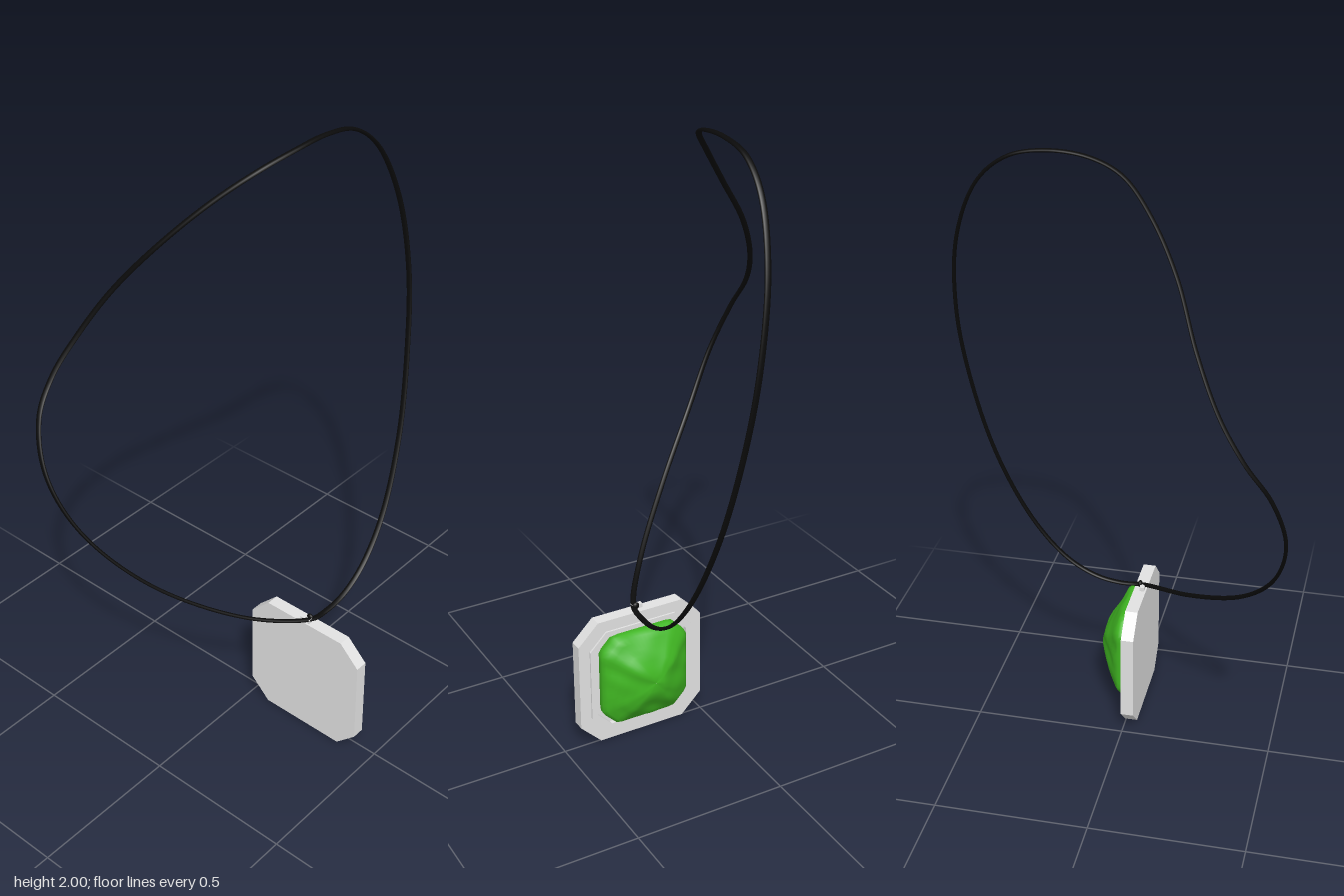
import * as THREE from 'three';

const mat = (name, color) => {
  const m = new THREE.MeshStandardMaterial({ color });
  m.name = name;
  return m;
};

// pendant centre: it lies in the y-z plane and faces +x
const CY = 0.22, CZ = 0.222;

// square with cut corners, h = half size, c = corner cut
function octagon(h, c, Type = THREE.Shape) {
  const k = h - c;
  return new Type([[h, -k], [h, k], [k, h], [-k, h], [-h, k], [-h, -k], [-k, -h], [k, -h]]
    .map(([x, y]) => new THREE.Vector2(x, y)));
}

// octagonal slab or frame between x0 and x1
function slab(h, c, x0, x1, hole) {
  const shape = octagon(h, c);
  if (hole) shape.holes.push(octagon(hole[0], hole[1], THREE.Path));
  const g = new THREE.ExtrudeGeometry(shape, { depth: x1 - x0, bevelEnabled: false });
  g.rotateY(Math.PI / 2);
  g.translate(x0, CY, CZ);
  return g;
}

// cut stone: octagonal rings shrinking towards a slightly uneven crown
function gemGeometry() {
  const rings = [[-0.005, 0.146], [0.014, 0.153], [0.03, 0.152], [0.042, 0.142], [0.053, 0.126],
    [0.064, 0.109], [0.076, 0.091], [0.088, 0.072], [0.099, 0.05], [0.106, 0.028], [0.103, 0.001]];
  const seg = 64, pos = [], index = [];
  rings.forEach(([x, h], i) => {
    for (let j = 0; j < seg; j++) {
      const a = (j / seg) * Math.PI * 2, c = Math.cos(a), s = Math.sin(a);
      const r = Math.min(h / Math.abs(c), h * 1.05 / Math.abs(s), h * 1.72 / (Math.abs(c) + Math.abs(s)));
      const u = r * c, v = r * s;
      const bump = i > 2 ? 0.003 * Math.sin(u * 48 + 1) * Math.cos(v * 42 + 0.6) + 0.002 * Math.sin(v * 80 + u * 50) : 0;
      pos.push(x + bump, CY + 0.007 + v, CZ - u);
      if (i < rings.length - 1) {
        const p = i * seg + j, q = i * seg + (j + 1) % seg;
        index.push(p, q, p + seg, q, q + seg, p + seg);
      }
    }
  });
  const g = new THREE.BufferGeometry();
  g.setAttribute('position', new THREE.Float32BufferAttribute(pos, 3));
  g.setIndex(index);
  g.computeVertexNormals();
  return g;
}

// closed neck cord, wider in z than across
function cordGeometry() {
  const flat = 1.8;
  const path = [
    [-0.02, 0.449, 0.232], [0.05, 0.441, 0.239], [0.14, 0.456, 0.242], [0.24, 0.515, 0.24], [0.35, 0.65, 0.23],
    [0.46, 0.895, 0.202], [0.53, 1.19, 0.165], [0.556, 1.45, 0.134], [0.53, 1.7, 0.1], [0.45, 1.885, 0.073],
    [0.35, 1.968, 0.06], [0.23, 1.993, 0.055], [0.1, 1.984, 0.041], [-0.005, 1.948, 0.001], [-0.105, 1.863, -0.085],
    [-0.2, 1.735, -0.196], [-0.28, 1.572, -0.32], [-0.36, 1.422, -0.398], [-0.44, 1.304, -0.432],
    [-0.515, 1.194, -0.42], [-0.556, 1.03, -0.36], [-0.52, 0.842, -0.256], [-0.4, 0.655, -0.087], [-0.2, 0.508, 0.11],
  ].map(([x, y, z]) => new THREE.Vector3(x, y, z / flat));
  const g = new THREE.TubeGeometry(new THREE.CatmullRomCurve3(path, true), 240, 0.0056, 10, true);
  g.scale(1, 1, flat);
  return g;
}

export function createModel() {
  const silver = mat('silver', 0xe2e2e2);
  const green = mat('green stone', 0x40b622);
  const black = mat('black cord', 0x0a0a0a);

  const model = new THREE.Group();
  model.name = 'pendantNecklace';
  const add = (parent, name, geometry, material) => {
    const m = new THREE.Mesh(geometry, material);
    m.name = name;
    parent.add(m);
    return m;
  };

  // setting: solid back, outer rim and raised inner frame around the stone
  const pendant = new THREE.Group();
  pendant.name = 'pendant';
  model.add(pendant);
  add(pendant, 'backPlate', slab(0.22, 0.07, -0.038, -0.005), silver);
  add(pendant, 'outerRim', slab(0.22, 0.07, -0.005, 0.004, [0.182, 0.058]), silver);
  add(pendant, 'innerFrame', slab(0.182, 0.058, -0.005, 0.01, [0.163, 0.05]), silver);
  add(pendant, 'stone', gemGeometry(), green);

  // small loop block joining the setting to the cord
  add(pendant, 'bail', new THREE.BoxGeometry(0.016, 0.016, 0.036), silver).position.set(-0.024, 0.446, 0.22);

  add(model, 'cord', cordGeometry(), black);
  const knot = add(model, 'knot', new THREE.SphereGeometry(0.011, 12, 8), black);
  knot.position.set(-0.014, 0.453, 0.228);
  knot.scale.set(0.7, 1.1, 1.1);
  return model;
}
